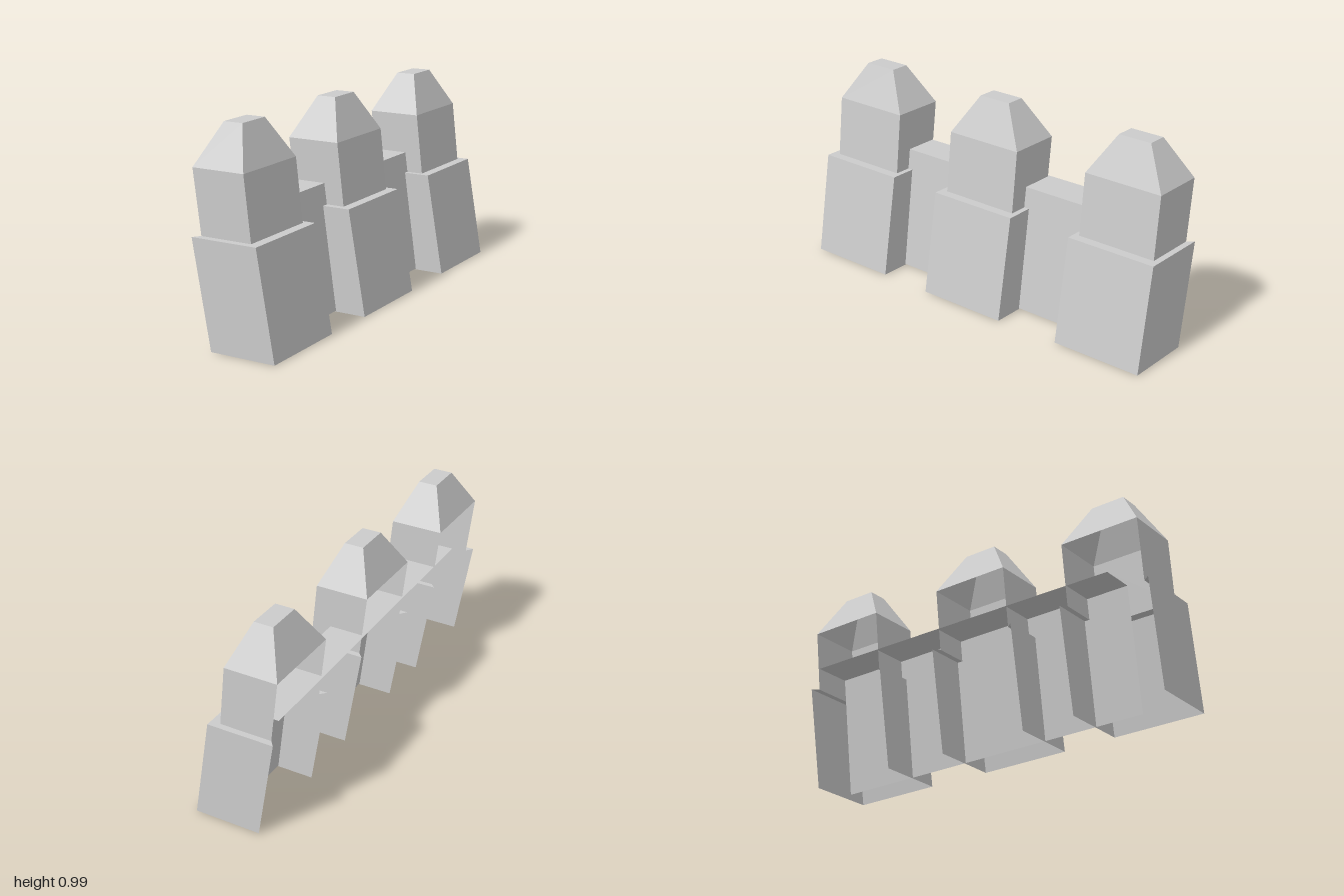
import * as THREE from 'three';

const material = new THREE.MeshStandardMaterial({ color: 0xcccccc, flatShading: true, side: THREE.DoubleSide });

// Mesh from four-cornered faces, corners counter-clockwise seen from outside
function quadMesh(name, quads) {
  const pos = [];
  for (const [a, b, c, d] of quads) pos.push(...a, ...b, ...c, ...a, ...c, ...d);
  const geo = new THREE.BufferGeometry();
  geo.setAttribute('position', new THREE.Float32BufferAttribute(pos, 3));
  geo.computeVertexNormals();
  const mesh = new THREE.Mesh(geo, material);
  mesh.name = name;
  return mesh;
}

// Rectangle at height y, starting at the back (-x), +z corner
const ring = (y, x0, x1, z0, z1) => [[x0, y, z1], [x1, y, z1], [x1, y, z0], [x0, y, z0]];

// Side faces between successive rings; three sides leave the back open
function loft(rings, sides) {
  const quads = [];
  for (let r = 0; r < rings.length - 1; r++) {
    for (let i = 0; i < sides; i++) {
      const j = (i + 1) % 4;
      quads.push([rings[r][i], rings[r][j], rings[r + 1][j], rings[r + 1][i]]);
    }
  }
  return quads;
}

function merlon(name, dx, z0, z1, c) {
  const foot = ring(0, -0.12 + dx, 0.208 + dx, z0, z1);
  const shoulder = ring(0.503, -0.208 + dx, 0.122 + dx, z0, z1);
  const waist = ring(0.503, -0.182 + dx, 0.075 + dx, c - 0.202, c + 0.202);
  const neck = ring(0.8, -0.22 + dx, 0.042 + dx, c - 0.202, c + 0.202);
  const top = ring(0.988, -0.135 + dx, -0.04 + dx, c - 0.085, c + 0.085);

  const group = new THREE.Group();
  group.name = name;
  group.add(
    quadMesh('leaningBase', loft([foot, shoulder], 3)),
    quadMesh('ledge', loft([shoulder, waist], 3)),
    quadMesh('upperBlock', loft([waist, neck], 3)),
    quadMesh('taperedCap', [...loft([neck, top], 4), top]),
  );
  return group;
}

export function createModel() {
  const model = new THREE.Group();
  model.name = 'battlement';

  // Three blocks along the wall, open at the back and underneath
  model.add(
    merlon('backMerlon', 0, -1, -0.54, -0.768),
    merlon('middleMerlon', 0.007, -0.21, 0.255, 0.02),
    merlon('frontMerlon', 0, 0.535, 1, 0.763),
  );

  // Low leaning wall running through the blocks: outer face and walkway
  const z0 = -0.95, z1 = 0.78;
  const edge = (x, y) => [[x, y, z0], [x, y, z1]];
  const [footB, footF] = edge(0.06, 0.004);
  const [rimB, rimF] = edge(-0.022, 0.603);
  model.add(
    quadMesh('wallFace', [[footF, footB, rimB, rimF]]),
    quadMesh('walkway', [[rimF, rimB, [-0.21, 0.603, z0], [-0.187, 0.603, z1]]]),
  );
  return model;
}
